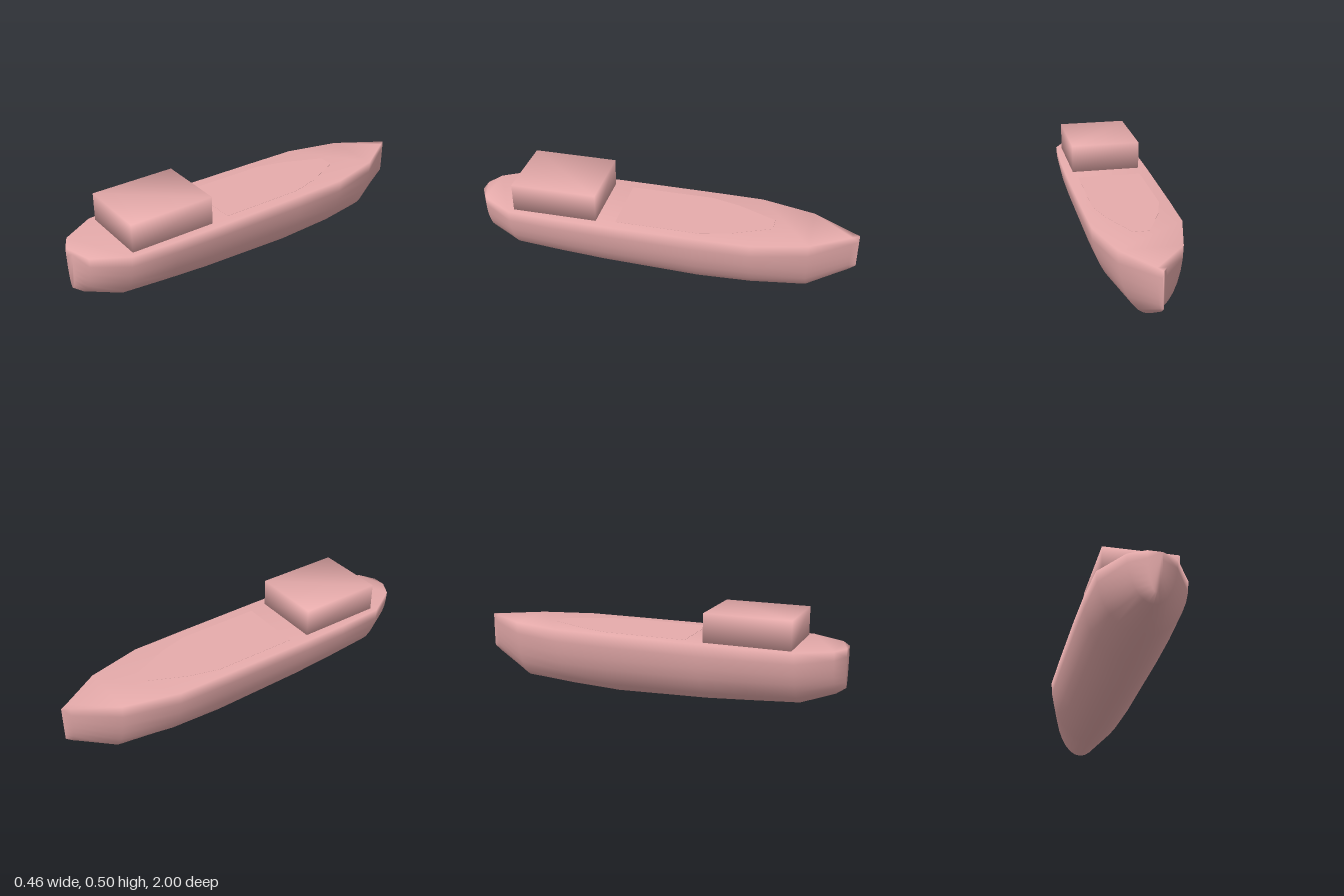
import * as THREE from 'three';
import { mergeVertices } from 'three/addons/utils/BufferGeometryUtils.js';

const DECK = 0.352;
const SEGMENTS = 16;

// Hull stations from bow to stern: [z, half width, keel height]
const STATIONS = [
  [-1, 0.003, 0.17], [-0.965, 0.022, 0.142], [-0.76, 0.15, 0.025],
  [-0.48, 0.22, 0.011], [-0.2, 0.225, 0], [0.3, 0.229, 0.018],
  [0.54, 0.227, 0.035], [0.785, 0.215, 0.053], [0.955, 0.115, 0.115], [1, 0.035, 0.147],
];

// Lofts half-ellipse sections along z, closed by the deck and two end caps
function hullGeometry() {
  const positions = [], index = [], ring = SEGMENTS + 1;
  for (const [z, w, keel] of STATIONS) {
    for (let j = 0; j < ring; j++) {
      const a = (Math.PI * j) / SEGMENTS;
      positions.push(w * Math.cos(a), DECK - (DECK - keel) * Math.sin(a), z);
    }
  }
  for (let i = 0; i < STATIONS.length - 1; i++) {
    for (let j = 0; j < ring; j++) {
      const k = (j + 1) % ring; // the last strip is the deck
      const a = i * ring + j, b = a + ring, c = i * ring + k, d = c + ring;
      index.push(a, b, c, c, b, d);
    }
  }
  const stern = (STATIONS.length - 1) * ring;
  for (let j = 1; j < SEGMENTS; j++) {
    index.push(0, j, j + 1);
    index.push(stern, stern + j + 1, stern + j);
  }
  const geometry = new THREE.BufferGeometry();
  geometry.setAttribute('position', new THREE.Float32BufferAttribute(positions, 3));
  geometry.setIndex(index);
  geometry.computeVertexNormals();
  return geometry;
}

// Box with shared corners, so its shading is smooth like the hull's
function smoothBox(w, h, d) {
  const box = new THREE.BoxGeometry(w, h, d);
  box.deleteAttribute('normal');
  box.deleteAttribute('uv');
  const geometry = mergeVertices(box);
  geometry.computeVertexNormals();
  return geometry;
}

// Thin deck panel, tapering towards the bow
function panelGeometry() {
  const half = [[0.17, -0.22], [0.17, 0.22], [0.13, 0.37], [0.04, 0.57]];
  const mirrored = half.map(([x, y]) => [-x, y]).reverse();
  const shape = new THREE.Shape([...half, ...mirrored].map(([x, y]) => new THREE.Vector2(x, y)));
  return new THREE.ExtrudeGeometry(shape, { depth: 0.002, bevelEnabled: false }).rotateX(-Math.PI / 2);
}

export function createModel() {
  const group = new THREE.Group();
  group.name = 'ship';
  const material = new THREE.MeshStandardMaterial({ color: 0xe6abab });
  const add = (name, geometry, y = 0, z = 0) => {
    const mesh = new THREE.Mesh(geometry, material);
    mesh.name = name;
    mesh.position.set(0, y, z);
    group.add(mesh);
  };

  add('hull', hullGeometry());
  add('deckPanel', panelGeometry(), DECK - 0.001);
  // Deckhouse near the stern, sunk slightly into the deck
  add('deckhouse', smoothBox(0.37, 0.158, 0.445), 0.421, 0.543);
  return group;
}
